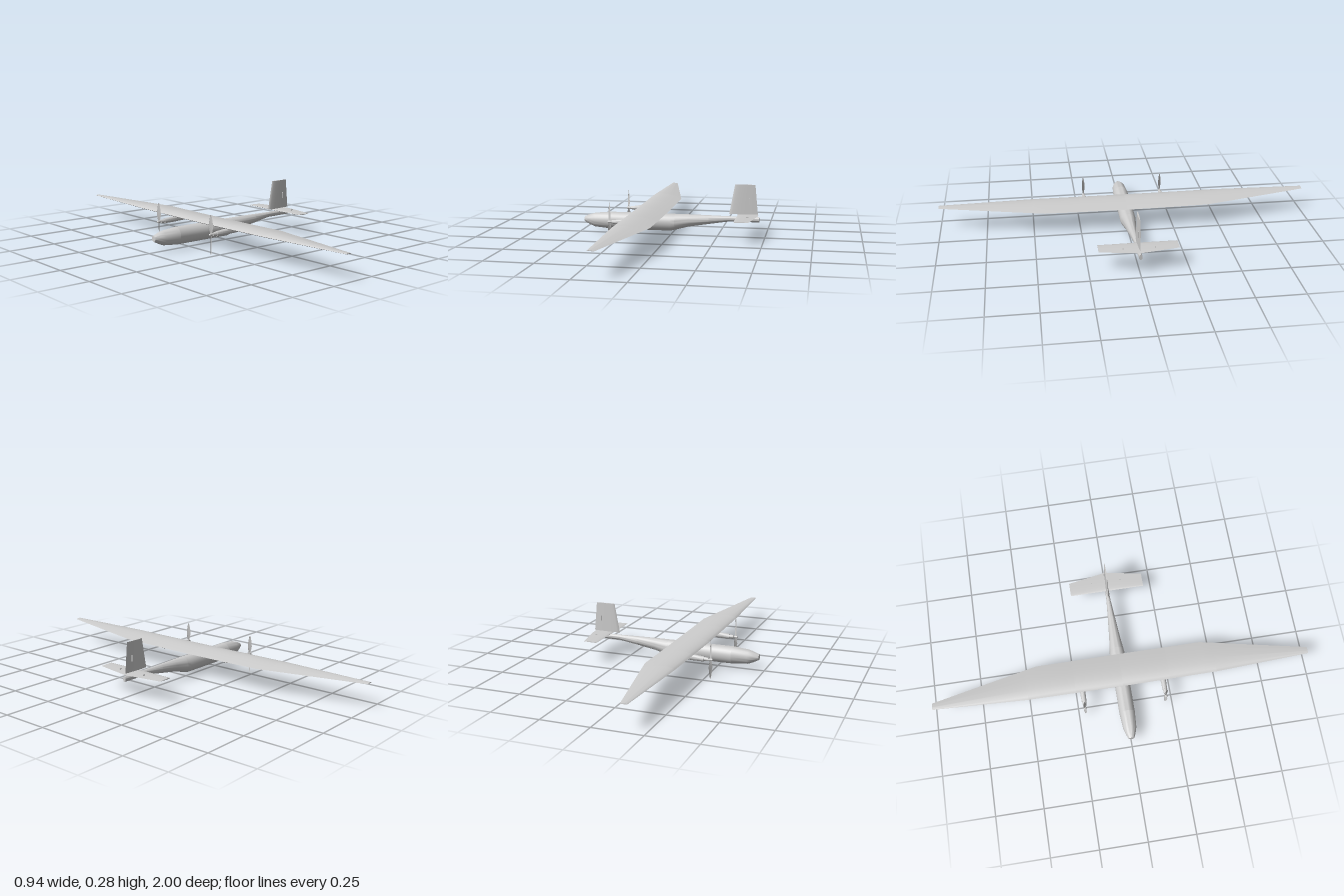
import * as THREE from 'three';
import { toCreasedNormals } from 'three/addons/utils/BufferGeometryUtils.js';

const lightGrey = new THREE.MeshStandardMaterial({ color: 0xcccccc });
lightGrey.name = 'lightGrey';

// Skin a list of rings (each turning counter-clockwise about the loft direction) and cap both ends.
function loft(name, rings, crease = 0.6) {
  const pos = [];
  const tri = (...pts) => pts.forEach((p) => pos.push(...p));
  const n = rings[0].length;
  for (let i = 0; i < rings.length - 1; i++) {
    for (let j = 0; j < n; j++) {
      const k = (j + 1) % n;
      const a = rings[i][j], b = rings[i + 1][j], c = rings[i + 1][k], d = rings[i][k];
      tri(a, c, b);
      tri(a, d, c);
    }
  }
  const centre = (r) => [0, 1, 2].map((c) => r.reduce((s, p) => s + p[c], 0) / n);
  const first = rings[0], last = rings[rings.length - 1];
  for (let j = 0; j < n; j++) {
    const k = (j + 1) % n;
    tri(centre(first), first[k], first[j]);
    tri(centre(last), last[j], last[k]);
  }
  const geo = new THREE.BufferGeometry();
  geo.setAttribute('position', new THREE.Float32BufferAttribute(pos, 3));
  const mesh = new THREE.Mesh(toCreasedNormals(geo, crease), lightGrey);
  mesh.name = name;
  return mesh;
}

// Elliptical ring across x, from bottom and top heights and a half width.
function bodyRing([x, bottom, top, half], z = 0, sides = 28) {
  return Array.from({ length: sides }, (_, i) => {
    const a = (i / sides) * Math.PI * 2;
    return [x, (top + bottom) / 2 + Math.cos(a) * (top - bottom) / 2, z + Math.sin(a) * half];
  });
}

// Unit sections: chord fraction, thickness fraction
const CAMBERED = [[1, 0.05], [0.8, 0.45], [0.6, 0.78], [0.45, 0.95], [0.3, 1], [0.18, 0.92], [0.08, 0.7],
  [0.02, 0.45], [0, 0.28], [0.03, 0.1], [0.12, 0.02], [0.3, 0], [0.65, 0]];
const SYMMETRIC = [[1, 0], [0.6, 0.75], [0.28, 1], [0.1, 0.8], [0.02, 0.4], [0, 0],
  [0.02, -0.4], [0.1, -0.8], [0.28, -1], [0.6, -0.75]];

// Wing station: leading x, trailing x, base height and thickness at a given span
function wingRing(z) {
  const s = Math.abs(z);
  const lerp = (keys) => {
    const i = Math.max(1, keys.findIndex((k) => k[0] >= s));
    const [s0, v0] = keys[i - 1], [s1, v1] = keys[i];
    return v0 + (v1 - v0) * (s - s0) / (s1 - s0);
  };
  const lead = lerp([[0, -0.2], [0.5, -0.198], [1, -0.175]]);
  const trail = lerp([[0, -0.018], [0.44, -0.02], [1, -0.14]]);
  const base = lerp([[0, 0.117], [0.25, 0.118], [0.5, 0.121], [1, 0.128]]);
  const thick = lerp([[0, 0.021], [0.25, 0.021], [0.5, 0.018], [1, 0.004]]);
  return CAMBERED.map(([u, v]) => [lead + u * (trail - lead), base + v * thick, z]);
}

function propeller(z) {
  const g = new THREE.Group();
  g.name = 'propeller';
  g.position.set(-0.28, 0.1, z);
  // Radius, half chord and pitch of each blade station
  const stations = [[0.004, 0.004, 1.0], [0.02, 0.008, 0.9], [0.04, 0.011, 0.75], [0.065, 0.009, 0.6],
    [0.09, 0.005, 0.5], [0.1, 0.002, 0.45]];
  for (const turn of [0, Math.PI]) {
    const blade = loft('propellerBlade', stations.map(([r, half, pitch]) =>
      Array.from({ length: 10 }, (_, i) => {
        const a = (i / 10) * Math.PI * 2;
        const c = Math.cos(a) * half, t = Math.sin(a) * 0.0018;
        return [c * Math.sin(pitch) + t * Math.cos(pitch), r, c * Math.cos(pitch) - t * Math.sin(pitch)];
      }).reverse()));
    // The ring above turns clockwise about the blade axis when unreversed in (z, x)
    blade.material = lightGrey;
    blade.rotation.x = turn;
    g.add(blade);
  }
  const spinner = loft('spinner', [[-0.012, -0.002, 0.002, 0.002], [-0.008, -0.006, 0.006, 0.006],
    [0.004, -0.007, 0.007, 0.007], [0.014, -0.004, 0.004, 0.004]].map((s) => bodyRing(s, 0, 16)));
  g.add(spinner);
  return g;
}

function box(name, size, at) {
  const m = new THREE.Mesh(new THREE.BoxGeometry(...size), lightGrey);
  m.name = name;
  m.position.set(...at);
  return m;
}

export function createModel() {
  const model = new THREE.Group();
  model.name = 'twinPropellerAircraft';

  // Fuselage sections, nose towards -x
  const sections = {
    noseCone: [[-0.472, 0.056, 0.085, 0.015], [-0.445, 0.042, 0.096, 0.026], [-0.415, 0.03, 0.105, 0.035],
      [-0.33, 0.022, 0.113, 0.041]],
    forwardFuselage: [[-0.33, 0.022, 0.113, 0.041], [-0.15, 0.022, 0.113, 0.041]],
    centreFuselage: [[-0.15, 0.022, 0.113, 0.041], [0, 0.022, 0.113, 0.041], [0.025, 0.028, 0.113, 0.038]],
    rearFuselage: [[0.025, 0.028, 0.113, 0.038], [0.1, 0.048, 0.113, 0.029], [0.205, 0.065, 0.112, 0.02]],
    tailBoom: [[0.205, 0.065, 0.112, 0.02], [0.312, 0.082, 0.11, 0.011], [0.47, 0.082, 0.11, 0.009]],
  };
  for (const [name, stations] of Object.entries(sections)) {
    model.add(loft(name, stations.map((s) => bodyRing(s))));
  }

  // Wing panels from tip to tip
  const panels = [['outerWing', [-1, -0.5]], ['middleWing', [-0.5, -0.44, -0.25]], ['innerWing', [-0.25, 0]],
    ['innerWing', [0, 0.25]], ['middleWing', [0.25, 0.44, 0.5]], ['outerWing', [0.5, 1]]];
  for (const [name, spans] of panels) model.add(loft(name, spans.map(wingRing)));

  // Engines, with the nacelles fairing into the wing underside
  for (const z of [-0.215, 0.215]) {
    const nacelle = [[-0.245, 0.087, 0.113, 0.013], [-0.2, 0.087, 0.117, 0.014], [-0.11, 0.09, 0.12, 0.013],
      [-0.07, 0.098, 0.12, 0.01], [-0.045, 0.108, 0.12, 0.006]];
    model.add(loft('nacelle', nacelle.map((s) => bodyRing(s, z, 20))));
    model.add(loft('motor', [[-0.268, 0.091, 0.109, 0.009], [-0.243, 0.09, 0.111, 0.011]]
      .map((s) => bodyRing(s, z, 20))));
    model.add(propeller(z));
  }

  // Horizontal stabiliser
  const stabiliser = [[-0.2, 0.43, 0.002], [0, 0.465, 0.0045], [0.2, 0.43, 0.002]];
  model.add(loft('horizontalStabiliser', stabiliser.map(([z, trail, t]) =>
    SYMMETRIC.map(([u, v]) => [0.355 + u * (trail - 0.355), 0.116 + v * t, z]))));

  // Vertical fin
  const fin = [[0.123, 0.312, 0.462, 0.006], [0.28, 0.341, 0.447, 0.004]];
  model.add(loft('verticalFin', fin.map(([y, lead, trail, t]) =>
    SYMMETRIC.map(([u, v]) => [lead + u * (trail - lead), y, -v * t]))));

  // Control horns
  model.add(box('rudderHorn', [0.003, 0.034, 0.016], [0.418, 0.193, 0]));
  for (const z of [-0.08, 0.08]) model.add(box('elevatorHorn', [0.012, 0.016, 0.003], [0.415, 0.116, z]));

  return model;
}
